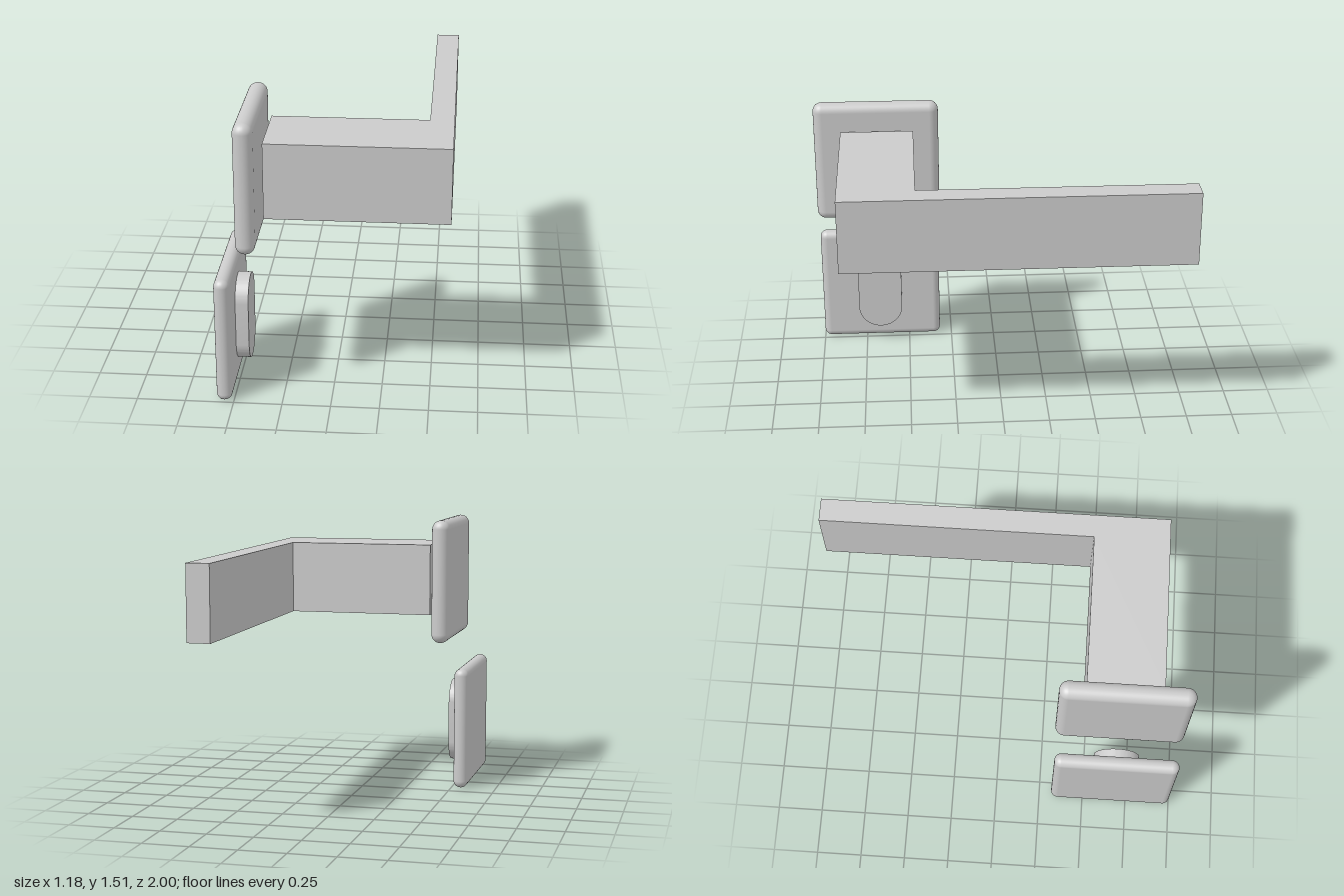
import * as THREE from 'three';
import { toCreasedNormals } from 'three/addons/utils/BufferGeometryUtils.js';
import { RoundedBoxGeometry } from 'three/addons/geometries/RoundedBoxGeometry.js';

export function createModel() {
  const group = new THREE.Group();
  const material = new THREE.MeshStandardMaterial({ color: 0xcccccc });

  const add = (name, geometry, x, y, z) => {
    const mesh = new THREE.Mesh(geometry, material);
    mesh.name = name;
    mesh.position.set(x, y, z);
    group.add(mesh);
  };

  // Square plates with fully rounded rims
  const plate = (thickness, size) =>
    new RoundedBoxGeometry(thickness, size, size, 5, thickness / 2 - 0.001);
  add('handlePlate', plate(0.1, 0.69), -0.425, 1.17, 0.655);
  add('lockPlate', plate(0.08, 0.682), -0.55, 0.341, 0.659);

  // L-shaped lever: thick neck and thin grip, drawn from above (shape y = -z)
  const outline = [
    [-0.345, 0.85], [0.59, 0.85], [0.59, -1], [0.465, -1], [0.465, 0.45], [-0.345, 0.45],
  ];
  const leverShape = new THREE.Shape(outline.map(([x, z]) => new THREE.Vector2(x, -z)));
  const lever = new THREE.ExtrudeGeometry(leverShape, { depth: 0.4, bevelEnabled: false });
  lever.rotateX(-Math.PI / 2);
  add('lever', lever, 0, 0.97, 0);

  // Raised oval keyhole cover, seated slightly into the lock plate
  const radius = 0.125, half = 0.111;
  const oval = new THREE.Shape();
  oval.absarc(0, half, radius, 0, Math.PI);
  oval.absarc(0, -half, radius, Math.PI, Math.PI * 2);
  oval.closePath();
  const cover = new THREE.ExtrudeGeometry(oval, { depth: 0.08, bevelEnabled: false, curveSegments: 24 });
  cover.rotateY(Math.PI / 2);
  add('keyholeCover', toCreasedNormals(cover, 0.6), -0.522, 0.338, 0.665);

  return group;
}
